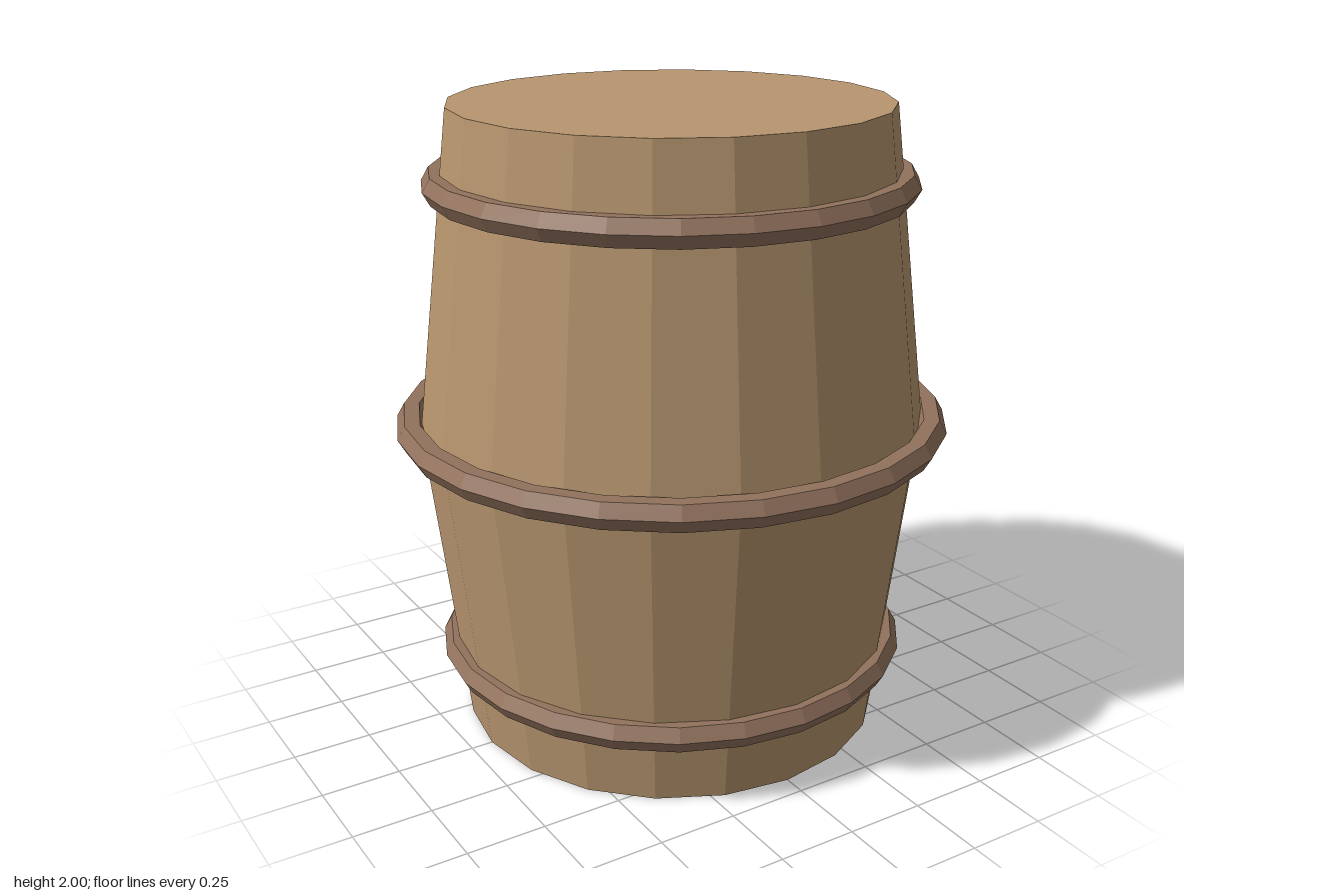
import * as THREE from 'three';

export function createModel() {
  const barrel = new THREE.Group();
  barrel.name = 'barrel';

  const wood = new THREE.MeshStandardMaterial({ color: 0xb8966f, flatShading: true });
  wood.name = 'pale wood';
  const band = new THREE.MeshStandardMaterial({ color: 0x92725d, flatShading: true });
  band.name = 'brown hoop';

  const END = 0.68, BELLY = 0.8, SIDES = 20;

  // Body: closed profile, widest at the middle
  const profile = [[0, 0], [END, 0], [BELLY, 1], [END, 2], [0, 2]]
    .map(([r, y]) => new THREE.Vector2(r, y));
  const body = new THREE.Mesh(new THREE.LatheGeometry(profile, SIDES), wood);
  body.name = 'staves';
  barrel.add(body);

  // Hoops: six-sided rings, flat on top and bottom
  const hoops = [['bottomHoop', 0.714, 0.24], ['middleHoop', 0.83, 1], ['topHoop', 0.714, 1.76]];
  for (const [name, radius, y] of hoops) {
    const geometry = new THREE.TorusGeometry(radius, 0.048, 6, 24).rotateX(Math.PI / 2);
    const hoop = new THREE.Mesh(geometry, band);
    hoop.name = name;
    hoop.position.y = y;
    barrel.add(hoop);
  }

  return barrel;
}
